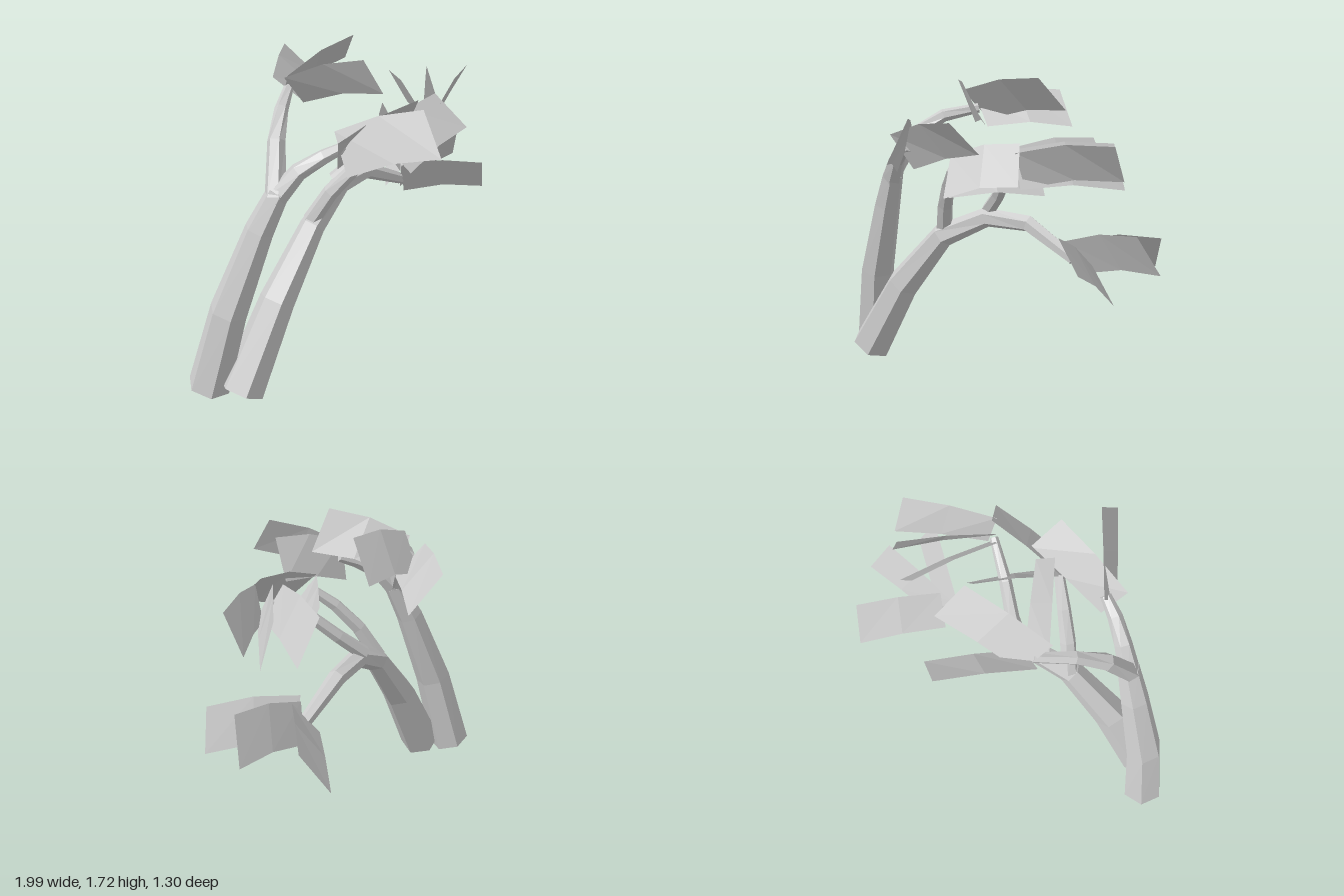
import * as THREE from 'three';

const V = (p) => new THREE.Vector3(p[0], p[1], p[2]);
const SIDES = 6;

// Tapered six-sided limb through points [x, y, z, radius], capped at both ends
function limbGeometry(points) {
  const pos = [], index = [];
  const pts = points.map(V);
  pts.forEach((p, i) => {
    const t = pts[Math.min(i + 1, pts.length - 1)].clone().sub(pts[Math.max(i - 1, 0)]).normalize();
    const n = new THREE.Vector3(0, 0, 1).cross(t).normalize();
    const b = t.clone().cross(n);
    for (let j = 0; j < SIDES; j++) {
      const a = (j / SIDES) * Math.PI * 2;
      const q = p.clone().addScaledVector(n, Math.cos(a) * points[i][3]).addScaledVector(b, Math.sin(a) * points[i][3]);
      pos.push(q.x, q.y, q.z);
    }
  });
  for (let i = 0; i < pts.length - 1; i++) {
    for (let j = 0; j < SIDES; j++) {
      const k = (j + 1) % SIDES, r = i * SIDES, s = r + SIDES;
      index.push(r + j, r + k, s + k, r + j, s + k, s + j);
    }
  }
  const last = (pts.length - 1) * SIDES;
  for (let j = 1; j < SIDES - 1; j++) {
    index.push(0, j + 1, j, last, last + j, last + j + 1);
  }
  return finish(pos, index);
}

// Bent leaf card: start top, start bottom, end top, end bottom; the middle bows upward
function leafGeometry([st, sb, et, eb], bow) {
  const pos = [], index = [];
  for (let i = 0; i <= 2; i++) {
    for (const [s, e] of [[st, et], [sb, eb]]) {
      const p = V(s).lerp(V(e), i / 2);
      pos.push(p.x, p.y + (i === 1 ? bow : 0), p.z);
    }
  }
  for (let i = 0; i < 2; i++) {
    const a = i * 2;
    index.push(a, a + 1, a + 3, a, a + 3, a + 2);
  }
  return finish(pos, index);
}

function finish(pos, index) {
  const g = new THREE.BufferGeometry();
  g.setAttribute('position', new THREE.Float32BufferAttribute(pos, 3));
  g.setIndex(index);
  const flat = g.toNonIndexed();
  flat.computeVertexNormals();
  return flat;
}

export function createModel() {
  const group = new THREE.Group();
  const grey = new THREE.MeshStandardMaterial({ color: 0xcccccc, side: THREE.DoubleSide, flatShading: true });
  grey.name = 'plain grey';
  const add = (name, geometry) => {
    const mesh = new THREE.Mesh(geometry, grey);
    mesh.name = name;
    group.add(mesh);
  };

  // Two leaning trunks and their branches
  const limbs = {
    frontTrunk: [[-0.78, 0.07, -0.02, 0.12], [-0.52, 0.51, -0.02, 0.095], [-0.25, 0.84, -0.04, 0.067],
      [0, 0.97, -0.1, 0.053], [0.24, 0.965, -0.14, 0.046], [0.52, 0.82, -0.14, 0.032]],
    backTrunk: [[-0.88, 0.07, -0.17, 0.115], [-0.78, 0.53, -0.09, 0.1], [-0.62, 0.97, -0.01, 0.075],
      [-0.53, 1.17, 0.04, 0.058]],
    backTrunkFrontBranch: [[-0.55, 1.13, 0.03, 0.058], [-0.45, 1.27, 0.1, 0.045], [-0.35, 1.34, 0.17, 0.038],
      [-0.26, 1.38, 0.22, 0.028]],
    backTrunkRearBranch: [[-0.55, 1.14, 0.04, 0.055], [-0.45, 1.38, -0.06, 0.045], [-0.33, 1.48, -0.16, 0.035],
      [-0.18, 1.52, -0.28, 0.026]],
    frontTrunkNearBranch: [[-0.25, 0.87, -0.05, 0.045], [-0.18, 1.04, 0.03, 0.042], [-0.09, 1.18, 0.12, 0.035],
      [0.01, 1.29, 0.22, 0.026]],
    frontTrunkUpperBranch: [[-0.01, 1.0, -0.13, 0.04], [0.11, 1.12, -0.05, 0.036], [0.22, 1.25, 0.05, 0.032],
      [0.38, 1.34, 0.18, 0.022]],
  };
  for (const [name, points] of Object.entries(limbs)) add(name, limbGeometry(points));

  // Leaf cards, three to a branch tip
  const leaves = {
    lowLeaf: [
      [[0.46, 0.94, -0.08], [0.55, 0.73, -0.14], [0.82, 0.94, 0.21], [0.91, 0.74, 0.15]],
      [[0.55, 0.94, -0.1], [0.46, 0.77, -0.2], [0.88, 0.93, -0.41], [0.8, 0.73, -0.53]],
      [[0.48, 0.92, -0.1], [0.56, 0.74, -0.18], [0.91, 1.03, -0.06], [1.0, 0.82, -0.16]],
    ],
    topLeaf: [
      [[-0.24, 1.58, -0.33], [-0.1, 1.43, -0.25], [0.11, 1.6, -0.65], [0.25, 1.42, -0.56]],
      [[-0.24, 1.62, -0.21], [-0.16, 1.45, -0.35], [0.23, 1.72, -0.23], [0.31, 1.54, -0.38]],
      [[-0.24, 1.6, -0.24], [-0.11, 1.43, -0.25], [-0.03, 1.73, 0.11], [0.09, 1.53, 0.13]],
    ],
    frontLeaf: [
      [[-0.28, 1.45, 0.17], [-0.3, 1.25, 0.28], [-0.03, 1.59, 0.51], [-0.05, 1.39, 0.65]],
      [[-0.35, 1.44, 0.27], [-0.27, 1.25, 0.18], [0.1, 1.56, 0.36], [0.19, 1.38, 0.22]],
    ],
    middleLeaf: [
      [[-0.02, 1.36, 0.19], [0.06, 1.18, 0.36], [0.4, 1.47, 0.2], [0.49, 1.3, 0.35]],
      [[-0.01, 1.36, 0.18], [0.05, 1.17, 0.3], [0.31, 1.36, -0.09], [0.4, 1.16, -0.04]],
    ],
    sideLeaf: [
      [[0.4, 1.43, 0.24], [0.42, 1.25, 0.18], [0.83, 1.48, 0.05], [0.83, 1.29, -0.06]],
      [[0.35, 1.43, 0.17], [0.42, 1.25, 0.22], [0.72, 1.45, -0.15], [0.8, 1.23, -0.13]],
      [[0.32, 1.43, 0.13], [0.4, 1.25, 0.2], [0.54, 1.44, -0.27], [0.67, 1.22, -0.24]],
    ],
  };
  for (const [name, cards] of Object.entries(leaves)) {
    cards.forEach((card, i) => add(name + (i + 1), leafGeometry(card, 0.025)));
  }
  return group;
}
